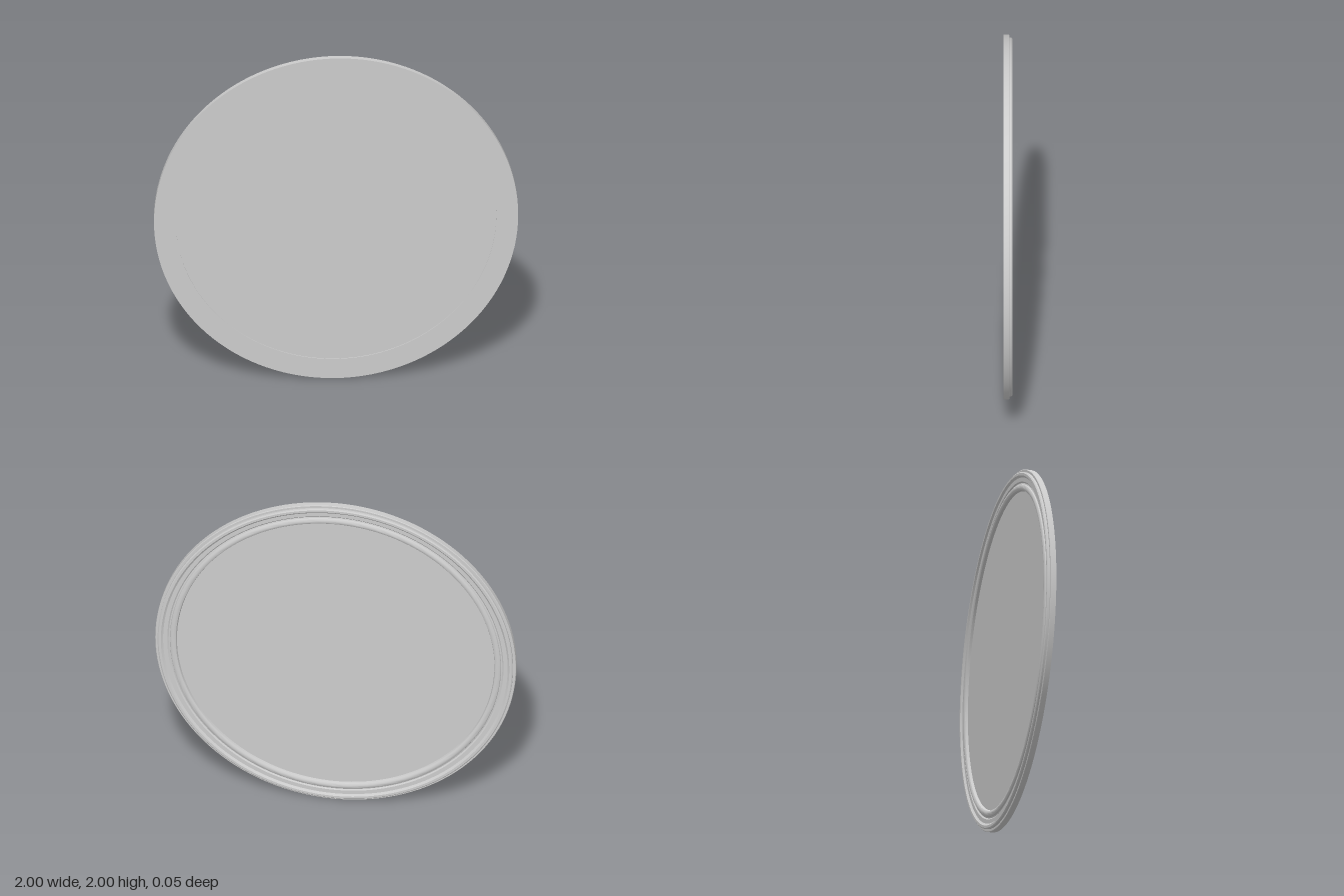
import * as THREE from 'three';
import { toCreasedNormals } from 'three/addons/utils/BufferGeometryUtils.js';

const SEGMENTS = 128;
const material = new THREE.MeshStandardMaterial({ color: 0xcccccc });

// Revolves a [radius, z] profile around the z axis
function turned(name, profile) {
  const points = profile.map(([r, z]) => new THREE.Vector2(r, z));
  const geometry = new THREE.LatheGeometry(points, SEGMENTS);
  geometry.rotateX(Math.PI / 2);
  const mesh = new THREE.Mesh(toCreasedNormals(geometry, 0.6), material);
  mesh.name = name;
  mesh.position.y = 1;
  return mesh;
}

// Half-round bead standing out of the back face
function bead(centre, halfWidth, base, height, steps = 6) {
  return Array.from({ length: steps + 1 }, (_, i) => {
    const a = Math.PI * i / steps;
    return [centre - halfWidth * Math.cos(a), base - height * Math.sin(a)];
  });
}

export function createModel() {
  const group = new THREE.Group();
  group.name = 'roundFramedPanel';

  // Frame ring: flat front, stepped edge, beads on the back
  group.add(turned('frameRing', [
    [0.88, 0.0],
    ...bead(0.9, 0.018, -0.01, 0.012),
    [0.925, -0.008],
    [0.932, -0.014],
    [0.955, -0.014],
    [0.96, -0.018],
    [0.966, -0.024],
    [0.979, -0.024],
    [0.985, -0.019],
    [0.985, -0.008],
    [0.997, -0.008],
    [1.0, -0.005],
    [1.0, 0.024],
    [0.88, 0.024],
    [0.88, 0.0],
  ]));

  // Thin panel set slightly behind the front of the ring
  group.add(turned('centrePanel', [
    [0, -0.002],
    [0.88, -0.002],
    [0.88, 0.019],
    [0, 0.019],
  ]));

  return group;
}
